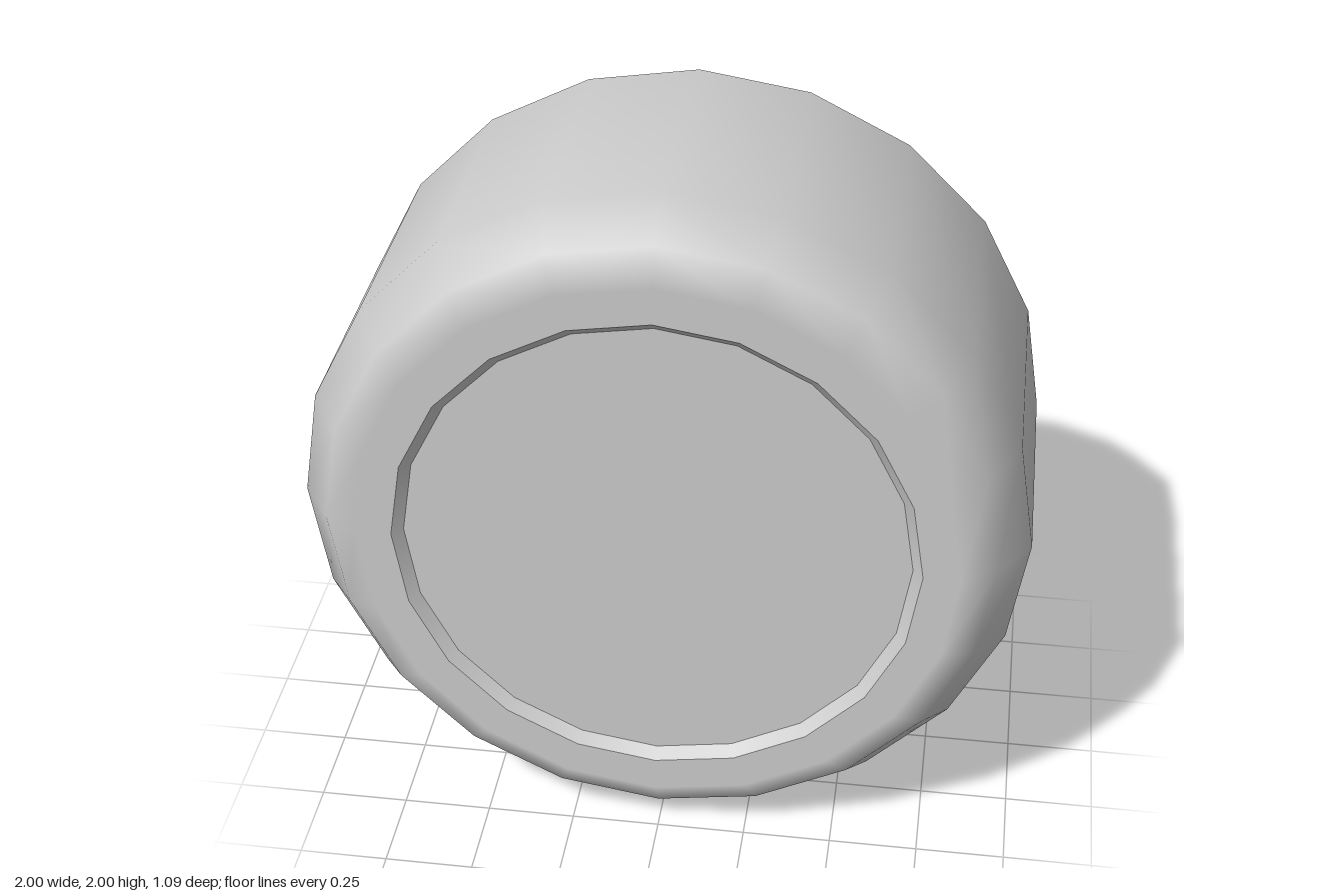
import * as THREE from 'three';

const SIDES = 20;

// Revolve a [radius, z] profile, running from back to front, around the z axis
function revolve(profile) {
  const points = profile.map(([r, z]) => new THREE.Vector2(r, z));
  return new THREE.LatheGeometry(points, SIDES).rotateX(Math.PI / 2);
}

export function createModel() {
  const material = new THREE.MeshStandardMaterial({ color: 0xcccccc });
  const wheel = new THREE.Group();
  wheel.name = 'wheel';

  const add = (parent, name, geometry) => {
    const mesh = new THREE.Mesh(geometry, material);
    mesh.name = name;
    parent.add(mesh);
    return mesh;
  };

  // Tread with rounded shoulders
  const half = 0.543;
  const shoulder = [[1, 0.36], [0.912, 0.487], [0.82, half]];
  const tread = revolve([...shoulder.map(([r, z]) => [r, -z]).reverse(), ...shoulder]);

  // Shoulder rims share the normal of the flat sidewalls
  const { position, normal } = tread.attributes;
  for (let i = 0; i < position.count; i++) {
    const z = position.getZ(i);
    if (Math.abs(z) > half - 0.001) normal.setXYZ(i, 0, 0, Math.sign(z));
  }
  add(wheel, 'tireTread', tread);

  // Flat sidewall, sloped rim and recessed hub on each side
  const recess = half - 0.03;
  for (const side of ['front', 'back']) {
    const face = new THREE.Group();
    face.name = side + 'Face';
    add(face, side + 'Sidewall', revolve([[0.82, half], [0.718, half]]));
    add(face, side + 'Rim', revolve([[0.718, half], [0.69, recess]]));
    add(face, side + 'Hub', new THREE.CircleGeometry(0.69, SIDES)).position.z = recess;
    if (side === 'back') face.rotation.y = Math.PI;
    wheel.add(face);
  }

  wheel.position.y = 1;
  const model = new THREE.Group();
  model.name = 'wheelModel';
  model.add(wheel);
  return model;
}
